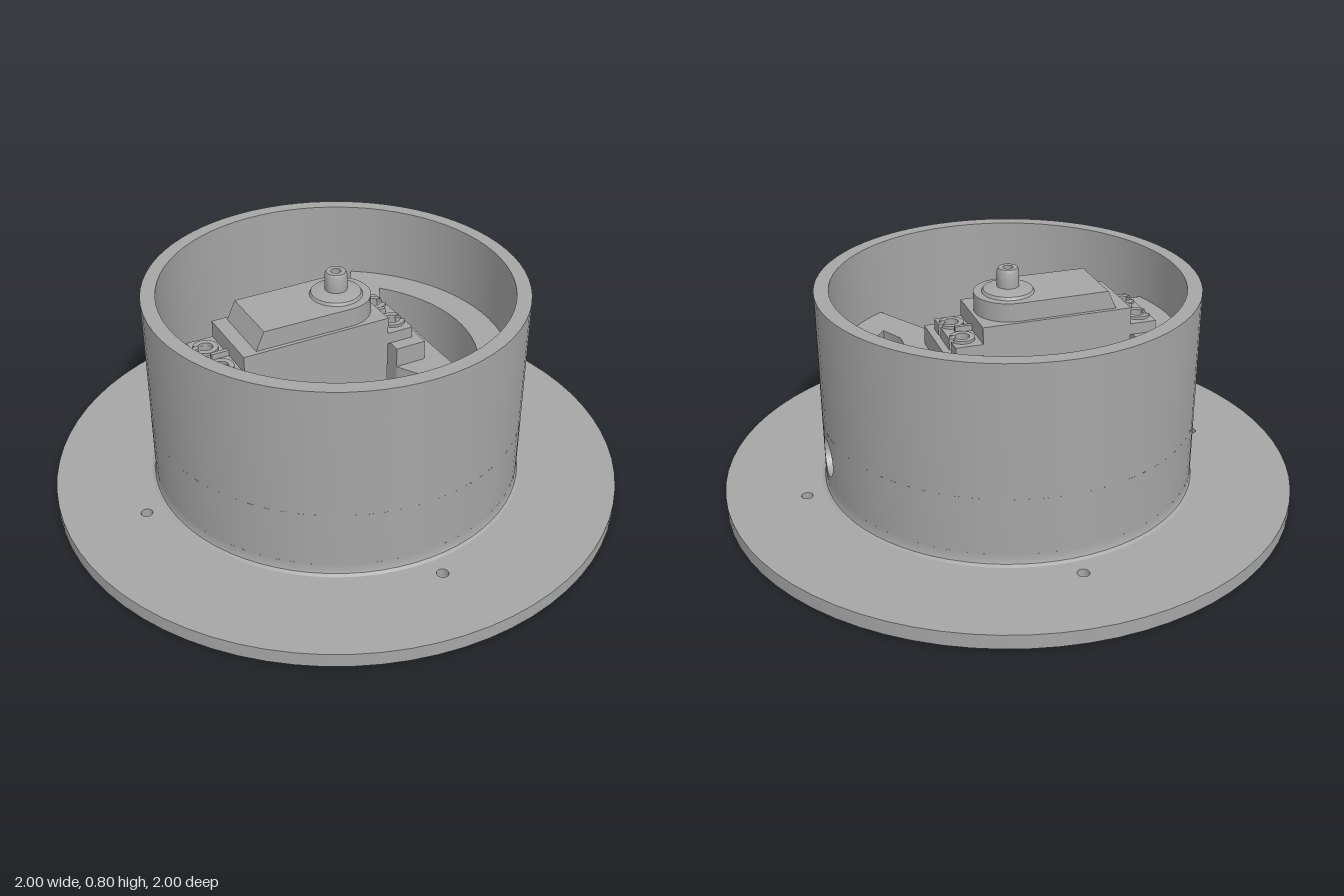
import * as THREE from 'three';
import { toCreasedNormals } from 'three/addons/utils/BufferGeometryUtils.js';
import { ParametricGeometry } from 'three/addons/geometries/ParametricGeometry.js';

const V2 = (x, y) => new THREE.Vector2(x, y);
const R = 0.65, RI = 0.6;                 // housing wall radii
const HY = 0.19, HR = 0.07;               // cable hole height and radius

// points on an arc around the origin
function arc(r, a0, a1, n = 16) {
  return Array.from({ length: n + 1 }, (_, i) => {
    const a = a0 + (a1 - a0) * i / n;
    return V2(r * Math.cos(a), r * Math.sin(a));
  });
}

function circleHole(x, z, r) {
  return new THREE.Path().absarc(x, z, r, 0, Math.PI * 2, true);
}

export function createModel() {
  const model = new THREE.Group();
  const grey = new THREE.MeshStandardMaterial({ color: 0xa6a6a6, side: THREE.DoubleSide });
  grey.name = 'grey plastic';

  function add(name, geo, parent = model) {
    const mesh = new THREE.Mesh(geo, grey);
    mesh.name = name;
    parent.add(mesh);
    return mesh;
  }
  // horizontal plate from a plan outline
  function slab(shape, y0, y1) {
    const g = new THREE.ExtrudeGeometry(shape, { depth: y1 - y0, bevelEnabled: false, curveSegments: 32 });
    g.rotateX(-Math.PI / 2).translate(0, y0, 0);
    return toCreasedNormals(g, 0.5);
  }
  function box(x0, x1, y0, y1, z0, z1) {
    return new THREE.BoxGeometry(x1 - x0, y1 - y0, z1 - z0)
      .translate((x0 + x1) / 2, (y0 + y1) / 2, (z0 + z1) / 2);
  }

  // base flange with four screw holes
  const ring = new THREE.Shape(arc(1, 0, Math.PI * 2, 72).slice(0, -1));
  ring.holes.push(new THREE.Path(arc(RI, 0, Math.PI * 2, 64).slice(0, -1)));
  for (let i = 0; i < 4; i++) {
    const a = i * Math.PI / 2;
    ring.holes.push(circleHole(0.73 * Math.cos(a), 0.73 * Math.sin(a), 0.02));
  }
  add('baseFlange', slab(ring, 0, 0.05));

  // housing wall, in bands so that the cable hole can be left open
  const A = 0.17, H = 0.1;                // half size of the hole panel: angle and height
  function band(name, pts, gap) {
    const start = gap ? Math.PI / 2 + A : 0;
    const len = Math.PI * 2 - (gap ? 2 * A : 0);
    const g = new THREE.LatheGeometry(pts.map(p => V2(...p)), 72, start, len);
    add(name, toCreasedNormals(g, 0.5));
  }
  band('lowerWall', [[0.665, 0.05], [0.654, 0.056], [R, 0.067], [R, HY - H]]);
  band('lowerWallInside', [[RI, HY - H], [RI, 0.04]]);
  band('middleWall', [[R, HY - H], [R, HY + H]], true);
  band('middleWallInside', [[RI, HY + H], [RI, HY - H]], true);
  band('upperWall', [[R, HY + H], [R, 0.75], [RI, 0.75], [RI, HY + H]]);

  // panel around the cable hole: square edge to circle, outside and inside
  function square(r, t, out) {
    const c = Math.cos(t), s = Math.sin(t), k = Math.max(Math.abs(c), Math.abs(s));
    const a = A * c / k;
    return out.set(r * Math.cos(a), HY + H * s / k, r * Math.sin(a));
  }
  function circle(r, t, out) {
    const z = HR * Math.cos(t);
    return out.set(Math.sqrt(r * r - z * z), HY + HR * Math.sin(t), z);
  }
  const p = new THREE.Vector3(), q = new THREE.Vector3();
  function blend(from, r0, to, r1) {
    const g = new ParametricGeometry((u, v, out) => {
      const t = u * Math.PI * 2;
      from(r0, t, p);
      to(r1, t, q);
      out.copy(p).lerp(q, v);
    }, 48, 1);
    g.computeVertexNormals();
    return g;
  }
  add('holePanelOutside', blend(square, R, circle, R));
  add('holeRim', blend(circle, R, circle, RI));
  add('holePanelInside', blend(circle, RI, square, RI));

  // wide bracket with a weight-saving opening and a cable channel
  const bracket = new THREE.Group();
  bracket.name = 'bracket';
  model.add(bracket);
  const a1 = Math.atan2(0.5, 0.33), a2 = Math.atan2(0.33, 0.36), rb = 0.605, ro = 0.49;
  const full = new THREE.Shape([V2(0.14, -0.175), ...arc(rb, -a1, a1), V2(0.14, 0.175)]);
  full.holes.push(new THREE.Path([V2(0.32, -0.25), ...arc(ro, -a2, a2), V2(0.32, 0.25)]));
  add('bracketBottom', slab(full, 0, HY - HR), bracket);
  add('bracketTop', slab(full, HY + HR, 0.48), bracket);
  for (const s of [1, -1]) {
    const half = [V2(0.14, HR), V2(0.14, 0.175),
      ...arc(rb, a1, Math.asin(HR / rb)), ...arc(ro, Math.asin(HR / ro), a2),
      V2(0.32, 0.25), V2(0.32, HR)];
    add('bracketSide', slab(new THREE.Shape(half.map(v => V2(v.x, v.y * s))), HY - HR, HY + HR), bracket);
  }

  // posts that carry the motor
  add('rightPost', box(0.14, 0.25, 0.48, 0.55, -0.175, 0.175));
  add('leftPost', box(-0.6, -0.41, 0.34, 0.55, -0.175, 0.175));

  // motor case with a tapered bottom
  const motor = new THREE.Group();
  motor.name = 'motor';
  model.add(motor);
  add('motorCase', box(-0.4, 0.13, 0.22, 0.65, -0.13, 0.13), motor);
  const taper = box(-0.4, 0.13, 0.19, 0.22, -0.13, 0.13);
  const tp = taper.attributes.position;
  for (let i = 0; i < tp.count; i++) {
    if (tp.getY(i) > 0.2) continue;
    tp.setX(i, tp.getX(i) - 0.02 * Math.sign(tp.getX(i)));
    tp.setZ(i, tp.getZ(i) * 0.85);
  }
  taper.computeVertexNormals();
  add('motorBottom', taper, motor);

  // gear cover, rounded around the shaft and sloped at the far end
  const cover = new THREE.Shape([V2(-0.35, -0.115), ...arc(0.118, -Math.PI / 2, Math.PI / 2), V2(-0.35, 0.115)]);
  const coverGeo = slab(cover, 0.65, 0.715);
  const cp = coverGeo.attributes.position;
  for (let i = 0; i < cp.count; i++) {
    if (cp.getX(i) < -0.3 && cp.getY(i) > 0.7) cp.setX(i, -0.32);
  }
  add('gearCover', toCreasedNormals(coverGeo, 0.5), motor);

  // boss and output shaft with a screw hole
  const shaft = [[0.09, 0.715], [0.085, 0.725], [0.05, 0.735], [0.038, 0.735], [0.038, 0.79],
    [0.033, 0.8], [0.017, 0.8], [0.017, 0.76], [0, 0.76]];
  add('outputShaft', toCreasedNormals(new THREE.LatheGeometry(shaft.map(v => V2(...v)), 32), 0.5), motor);

  // mounting ears with open screw slots, raised rims and a rib
  for (const [root, s] of [[-0.4, -1], [0.13, 1]]) {
    const X = d => root + s * d;
    const pts = [V2(X(0), -0.13), V2(X(0.095), -0.13)];
    for (const z of [-0.065, 0.065]) {
      pts.push(V2(X(0.095), z - 0.012));
      for (let i = 0; i <= 14; i++) {
        const a = -0.5 - (Math.PI * 2 - 1) * i / 14;
        pts.push(V2(X(0.053 + 0.025 * Math.cos(a)), z + 0.025 * Math.sin(a)));
      }
      pts.push(V2(X(0.095), z + 0.012));
    }
    pts.push(V2(X(0.095), 0.13), V2(X(0), 0.13));
    add('mountingEar', slab(new THREE.Shape(pts), 0.55, 0.59), motor);
    for (const z of [-0.065, 0.065]) {
      const rim = [[0.043, 0.59], [0.043, 0.6], [0.025, 0.6], [0.025, 0.59]].map(v => V2(...v));
      const start = Math.PI / 2 * s + 0.5;
      const g = new THREE.LatheGeometry(rim, 24, start, Math.PI * 2 - 1);
      add('screwRim', toCreasedNormals(g, 0.5).translate(X(0.053), 0, z), motor);
    }
    add('earRib', box(Math.min(X(0), X(0.06)), Math.max(X(0), X(0.06)), 0.59, 0.61, -0.007, 0.007), motor);
  }
  return model;
}
